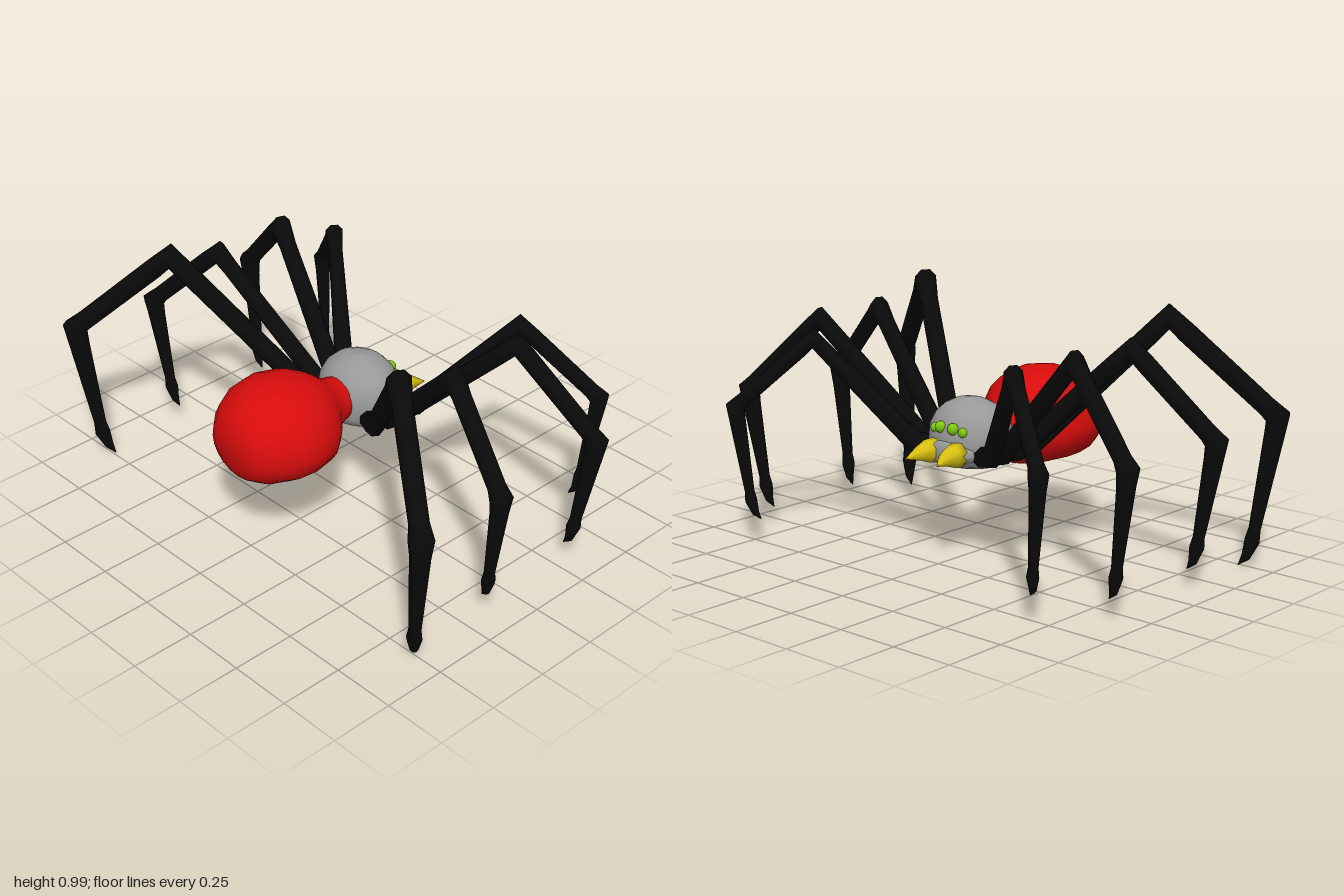
import * as THREE from 'three';

const V = (x, y, z) => new THREE.Vector3(x, y, z);
const mat = (color) => new THREE.MeshStandardMaterial({ color, roughness: 0.8 });

// Skin a list of closed rings (each an array of Vector3)
function loft(rings) {
  const n = rings[0].length, index = [];
  for (let i = 0; i < rings.length - 1; i++) {
    for (let j = 0; j < n; j++) {
      const a = i * n + j, b = i * n + (j + 1) % n;
      index.push(a, b, a + n, b, b + n, a + n);
    }
  }
  const g = new THREE.BufferGeometry().setFromPoints(rings.flat());
  g.setIndex(index);
  g.computeVertexNormals();
  return g;
}

// Tapered limb through points with a radius at each; rings are mitred at bends
function limb(points, radii, side, sides = 8) {
  const rings = points.map((p, i) => {
    const before = p.clone().sub(points[Math.max(i - 1, 0)]).normalize();
    const after = points[Math.min(i + 1, points.length - 1)].clone().sub(p).normalize();
    const t = before.add(after).normalize();
    const s = side.clone().addScaledVector(t, -side.dot(t)).normalize();
    const u = t.clone().cross(s);
    return Array.from({ length: sides }, (_, j) => {
      const a = ((j + 0.5) / sides) * Math.PI * 2;
      return p.clone().addScaledVector(s, Math.cos(a) * radii[i]).addScaledVector(u, Math.sin(a) * radii[i] * 1.05);
    });
  });
  return loft(rings);
}

// Body sections along x: [x, top, bottom, half width, height of widest point]
function bodyLoft(sections, sides) {
  return loft(sections.map(([x, top, bottom, w, mid]) =>
    Array.from({ length: sides }, (_, j) => {
      const a = (j / sides) * Math.PI * 2, c = Math.cos(a);
      return V(x, mid + c * (c > 0 ? top - mid : mid - bottom), Math.sin(a) * w);
    })));
}

export function createModel() {
  const model = new THREE.Group();
  const black = mat(0x0a0a0a), red = mat(0xd80c0c), grey = mat(0xcccccc);
  grey.color.set(0x999999);
  const yellow = mat(0xd8c010), green = mat(0x7cc810);
  const add = (name, geometry, material, parent = model) => {
    const m = new THREE.Mesh(geometry, material);
    m.name = name;
    parent.add(m);
    return m;
  };

  // Abdomen narrowing to the waist
  add('abdomen', bodyLoft([
    [-0.58, 0.48, 0.48, 0, 0.48],
    [-0.578, 0.55, 0.4, 0.09, 0.47],
    [-0.55, 0.6, 0.345, 0.14, 0.46],
    [-0.5, 0.645, 0.315, 0.19, 0.46],
    [-0.42, 0.673, 0.303, 0.235, 0.46],
    [-0.34, 0.682, 0.302, 0.245, 0.46],
    [-0.25, 0.665, 0.302, 0.222, 0.46],
    [-0.18, 0.628, 0.312, 0.165, 0.46],
    [-0.13, 0.585, 0.35, 0.11, 0.465],
    [-0.08, 0.563, 0.385, 0.093, 0.47],
    [0, 0.55, 0.4, 0.08, 0.47],
  ], 20), red);

  // Head: domed top, flattened underside
  const headProfile = [[0, 0.36], [0.09, 0.362], [0.13, 0.38], [0.142, 0.41], [0.146, 0.46], [0.142, 0.51],
    [0.122, 0.555], [0.09, 0.59], [0.05, 0.612], [0, 0.62]].map(([r, y]) => new THREE.Vector2(r, y));
  const head = add('head', new THREE.LatheGeometry(headProfile, 24), grey);
  head.position.x = 0.065;
  head.scale.z = 1.18;

  // Muzzle joining head and fangs
  add('muzzle', bodyLoft([
    [0.08, 0.48, 0.362, 0.13, 0.42],
    [0.17, 0.48, 0.37, 0.12, 0.425],
    [0.22, 0.47, 0.385, 0.1, 0.43],
    [0.235, 0.465, 0.395, 0.08, 0.43],
    [0.235, 0.43, 0.43, 0, 0.43],
  ], 16), grey);

  // Knee, ankle, lower joint, tip, root x and thickness of each leg on one side
  const legs = [
    ['hindLeg', V(-0.34, 0.945, 0.615), V(-0.565, 0.58, 0.955), V(-0.52, 0.1, 0.89), V(-0.49, 0.005, 0.85), 0.0, 1],
    ['rearMiddleLeg', V(-0.09, 0.865, 0.635), V(-0.175, 0.555, 0.955), V(-0.155, 0.16, 0.895), V(-0.145, 0.075, 0.86), 0.045, 0.9],
    ['frontMiddleLeg', V(0.235, 0.865, 0.635), V(0.333, 0.555, 0.95), V(0.312, 0.16, 0.89), V(0.303, 0.075, 0.855), 0.09, 0.9],
    ['foreLeg', V(0.4, 0.825, 0.5), V(0.572, 0.55, 0.76), V(0.545, 0.18, 0.715), V(0.522, 0.105, 0.685), 0.135, 0.78],
  ];
  for (const s of [1, -1]) {
    const prefix = s > 0 ? 'left ' : 'right ';
    for (const [name, knee, ankle, low, tip, rootX, k] of legs) {
      const root = V(rootX, 0.42, 0.11);
      const hip = V(rootX + (knee.x - rootX) * 0.14, 0.435, 0.2);
      const pts = [
        root, root, hip, hip.clone().lerp(knee, 0.86), knee, knee.clone().lerp(ankle, 0.16),
        knee.clone().lerp(ankle, 0.9), ankle, ankle.clone().lerp(low, 0.16), ankle.clone().lerp(low, 0.9),
        low, low.clone().lerp(tip, 0.55).add(V(0, -0.01, 0.006)), tip,
      ].map((p) => V(p.x, p.y, p.z * s));
      pts[1].z += 0.005 * s;
      const radii = [0, 0.04, 0.038, 0.037 * k, 0.047 * k, 0.038 * k, 0.037 * k, 0.047 * k, 0.038 * k,
        0.023 * k, 0.029 * k, 0.017 * k, 0.001];
      const side = V((knee.z - root.z) * s, 0, rootX - knee.x).normalize();
      add(prefix + name, limb(pts, radii, side), black);
    }

    // Curved fang
    add(prefix + 'fang', limb(
      [V(0.195, 0.428, 0.058 * s), V(0.2, 0.428, 0.058 * s), V(0.24, 0.43, 0.062 * s),
        V(0.285, 0.428, 0.066 * s), V(0.34, 0.415, 0.08 * s)],
      [0, 0.047, 0.042, 0.026, 0.001], V(0, 0, 1)), yellow);

    // Eyes
    for (const [name, x, y, z, r] of [['innerEye', 0.198, 0.521, 0.031, 0.023], ['outerEye', 0.186, 0.511, 0.07, 0.019]]) {
      add(prefix + name, new THREE.SphereGeometry(r, 12, 8), green).position.set(x, y, z * s);
    }
  }
  return model;
}
